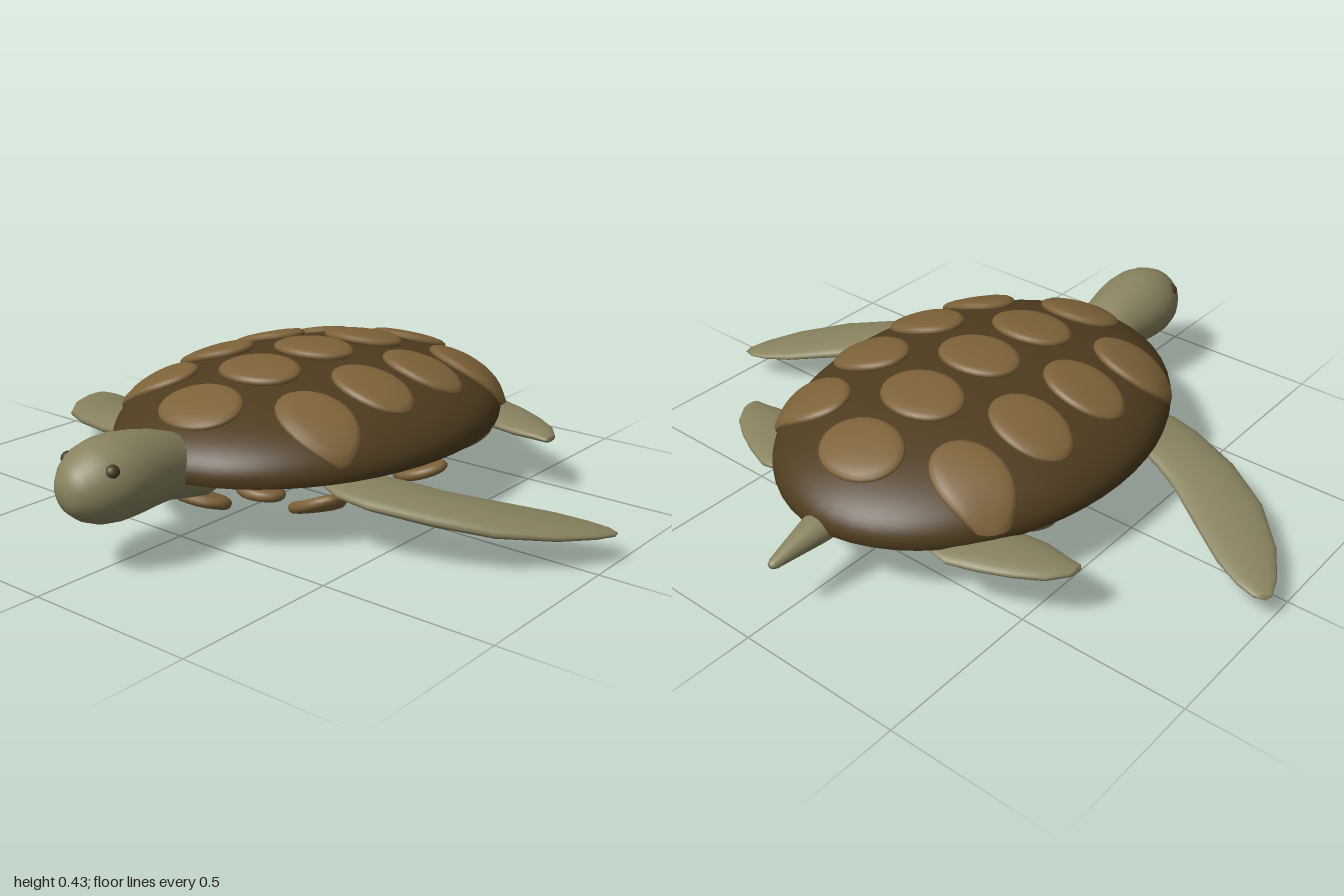
import * as THREE from 'three';
import { mergeVertices } from 'three/addons/utils/BufferGeometryUtils.js';

const material = (name, color) => {
  const m = new THREE.MeshStandardMaterial({ color });
  m.name = name;
  return m;
};

// Skin through rings of points; each ring is an array of Vector3
function loft(rings) {
  const n = rings[0].length, index = [];
  for (let i = 0; i < rings.length - 1; i++) {
    for (let j = 0; j < n; j++) {
      const k = (j + 1) % n, a = i * n + j, b = i * n + k, c = a + n, d = b + n;
      index.push(a, b, c, b, d, c);
    }
  }
  const g = new THREE.BufferGeometry().setFromPoints(rings.flat());
  g.setIndex(index);
  const merged = mergeVertices(g);
  merged.computeVertexNormals();
  return merged;
}

// Round body along z from rows of [z, y, radiusX, radiusY]
function roundBody(rows, sides = 28) {
  return loft(rows.map(([z, y, rx, ry]) => Array.from({ length: sides }, (_, j) => {
    const a = (j / sides) * Math.PI * 2;
    return new THREE.Vector3(Math.cos(a) * rx, y + Math.sin(a) * ry, z);
  })));
}

// Flat lens-shaped flipper from rows of [frontX, frontZ, backX, backZ, y, halfThickness]
function flipper(rows, side, sides = 20) {
  return loft(rows.map(([fx, fz, bx, bz, y, t]) => Array.from({ length: sides }, (_, j) => {
    const a = (j / sides) * Math.PI * 2, c = Math.cos(a) / 2;
    return new THREE.Vector3(
      side * ((fx + bx) / 2 + c * (fx - bx)),
      y - side * Math.sin(a) * t,
      (fz + bz) / 2 + c * (fz - bz));
  })));
}

// Oval plate bent over the shell ellipsoid; s = 1 above, -1 below
const BODY = { a: 0.505, b: 0.2, c: 0.668, y: 0.222, z: -0.077 };
const plateProfile = [[0, -1], [0.3, -1], [0.6, -0.98], [0.85, -0.85], [0.96, -0.5], [1, 0],
  [0.96, 0.5], [0.85, 0.85], [0.6, 0.98], [0.3, 1], [0, 1]].map(p => new THREE.Vector2(...p));
function scute(cx, cz, rx, rz, h, s) {
  let g = new THREE.LatheGeometry(plateProfile, 28);
  g.deleteAttribute('uv');
  g.deleteAttribute('normal');
  g = mergeVertices(g);
  const p = g.attributes.position, n = new THREE.Vector3();
  for (let i = 0; i < p.count; i++) {
    const x = cx + p.getX(i) * rx, z = cz + p.getZ(i) * rz - BODY.z;
    const q = 1 - (x / BODY.a) ** 2 - (z / BODY.c) ** 2;
    const y = s * BODY.b * Math.sqrt(Math.max(q, 0.004));
    n.set(x / BODY.a ** 2, y / BODY.b ** 2, z / BODY.c ** 2).normalize();
    const o = h * s * p.getY(i);
    p.setXYZ(i, x + n.x * o, BODY.y + y + n.y * o, z + BODY.z + n.z * o);
  }
  g.computeVertexNormals();
  return g;
}

export function createModel() {
  const model = new THREE.Group();
  model.name = 'seaTurtle';
  const shellMat = material('dark brown shell', 0x4f3c1f);
  const scuteMat = material('light brown scute', 0x7e6339);
  const skinMat = material('olive skin', 0x88825f);
  const bellyMat = material('pale belly', 0xc8bd98);
  const eyeMat = material('brown eye', 0x4a3820);
  const add = (name, geometry, mat, x = 0, y = 0, z = 0) => {
    const mesh = new THREE.Mesh(geometry, mat);
    mesh.name = name;
    mesh.position.set(x, y, z);
    model.add(mesh);
  };

  // Domed shell, its flat underside and the belly
  const dome = new THREE.SphereGeometry(1, 56, 28, 0, Math.PI * 2, 0, Math.acos(-0.12));
  dome.scale(BODY.a, 0.19, BODY.c);
  add('shell', dome, shellMat, 0, BODY.y, BODY.z);
  const rim = new THREE.CircleGeometry(1, 56).rotateX(Math.PI / 2);
  rim.scale(BODY.a * 0.993, 1, BODY.c * 0.993);
  add('shellUnderside', rim, shellMat, 0, 0.2, BODY.z);
  const belly = new THREE.SphereGeometry(1, 48, 20);
  belly.scale(0.445, 0.05, 0.6);
  add('belly', belly, bellyMat, 0, 0.2, BODY.z);

  // Scutes: one middle row and two side rows, above and below
  const lowerScale = [1, 0.9, 0.76, 0.9, 1];
  for (const s of [1, -1]) {
    const [rx, rz, h] = s > 0 ? [0.13, 0.1, 0.016] : [0.09, 0.069, 0.018];
    const place = s > 0 ? 'upper' : 'lower';
    for (let i = 0; i < 5; i++) {
      const k = s > 0 ? 1 : lowerScale[i];
      add(place + 'MiddleScute', scute(0, 0.41 - i * 0.242, rx * k, rz * k, h, s), scuteMat);
    }
    for (const side of [1, -1]) {
      for (let i = 0; i < 4; i++) {
        add(place + 'SideScute', scute(side * 0.295, 0.272 - i * 0.242, rx * 0.97, rz * 0.97, h, s), scuteMat);
      }
    }
  }

  // Head and neck
  add('headAndNeck', roundBody([
    [0.365, 0.165, 0, 0], [0.37, 0.165, 0.04, 0.03], [0.39, 0.168, 0.065, 0.056],
    [0.43, 0.182, 0.08, 0.078], [0.5, 0.21, 0.095, 0.092], [0.58, 0.233, 0.103, 0.098],
    [0.65, 0.241, 0.115, 0.106], [0.71, 0.244, 0.122, 0.112], [0.76, 0.244, 0.122, 0.112],
    [0.81, 0.243, 0.11, 0.104], [0.85, 0.242, 0.088, 0.086], [0.88, 0.241, 0.06, 0.06],
    [0.894, 0.24, 0.035, 0.035], [0.9, 0.24, 0, 0],
  ]), skinMat);

  // Tail
  add('tail', roundBody([
    [-0.905, 0.178, 0, 0], [-0.902, 0.178, 0.01, 0.009], [-0.89, 0.179, 0.017, 0.015],
    [-0.83, 0.188, 0.028, 0.027], [-0.75, 0.199, 0.045, 0.039], [-0.66, 0.204, 0.055, 0.043],
    [-0.64, 0.204, 0, 0],
  ]), skinMat);

  for (const side of [1, -1]) {
    const prefix = side > 0 ? 'left' : 'right';
    // Long swept front flipper
    add(prefix + 'FrontFlipper', flipper([
      [0.31, 0.25, 0.31, 0.25, 0.183, 0], [0.32, 0.30, 0.33, 0.18, 0.182, 0.015],
      [0.41, 0.335, 0.42, 0.14, 0.172, 0.022], [0.5, 0.325, 0.5, 0.11, 0.16, 0.028],
      [0.66, 0.27, 0.58, 0.075, 0.142, 0.03], [0.8, 0.19, 0.71, -0.01, 0.119, 0.027],
      [0.915, 0.07, 0.82, -0.08, 0.1, 0.021], [0.975, -0.03, 0.9, -0.113, 0.088, 0.014],
      [0.996, -0.09, 0.955, -0.123, 0.082, 0.008], [0.99, -0.115, 0.99, -0.115, 0.08, 0],
    ], side), skinMat);
    // Short rear flipper
    add(prefix + 'RearFlipper', flipper([
      [0.25, -0.55, 0.25, -0.55, 0.19, 0], [0.27, -0.48, 0.27, -0.61, 0.19, 0.015],
      [0.34, -0.43, 0.34, -0.622, 0.188, 0.022], [0.42, -0.4, 0.42, -0.592, 0.185, 0.024],
      [0.5, -0.388, 0.5, -0.552, 0.182, 0.021], [0.57, -0.396, 0.57, -0.505, 0.178, 0.016],
      [0.605, -0.396, 0.61, -0.45, 0.176, 0.01], [0.617, -0.41, 0.617, -0.41, 0.175, 0],
    ], side), skinMat);
    // Eye, set almost flush with the head
    add(prefix + 'Eye', new THREE.SphereGeometry(0.02, 20, 14), eyeMat, side * 0.081, 0.295, 0.81);
  }
  return model;
}
